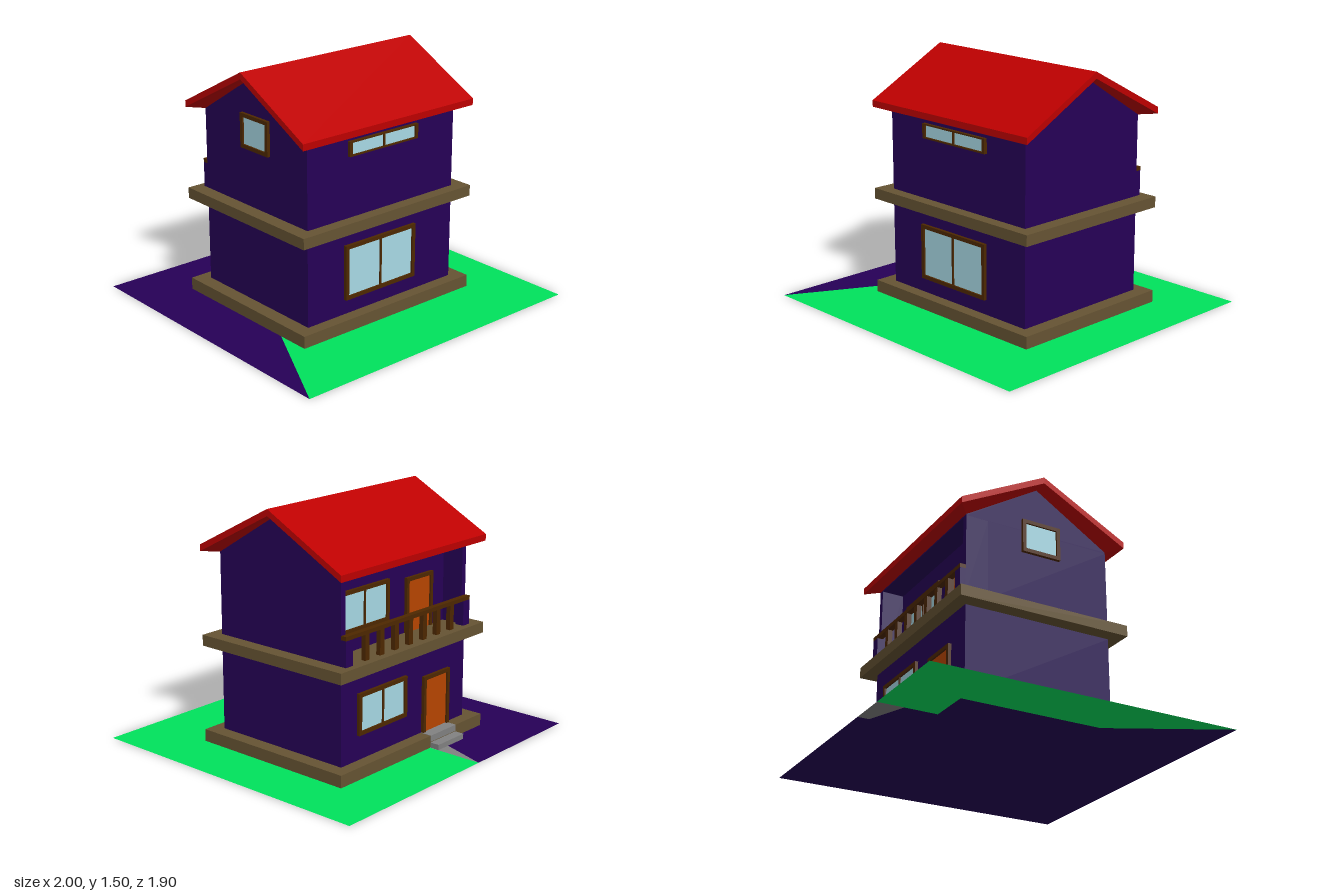
import * as THREE from 'three';

const mat = (name, color) => {
  const m = new THREE.MeshStandardMaterial({ color });
  m.name = name;
  return m;
};

export function createModel() {
  const model = new THREE.Group();
  model.name = 'house';
  const purple = mat('purple wall', 0x260057);
  const red = mat('red roof', 0xbe0000);
  const green = mat('green lawn', 0x00e25c);
  const stone = mat('tan band', 0x665433);
  const wood = mat('dark wood', 0x4e2800);
  const doorPaint = mat('orange door', 0xb94600);
  const glass = mat('pale glass', 0xa8dae6);
  const grey = mat('grey step', 0x828282);

  const add = (name, geometry, material, parent = model) => {
    const mesh = new THREE.Mesh(geometry, material);
    mesh.name = name;
    parent.add(mesh);
    return mesh;
  };
  // Box given by its limits on each axis
  const box = (name, material, x0, x1, y0, y1, z0, z1, parent) => {
    const g = new THREE.BoxGeometry(x1 - x0, y1 - y0, z1 - z0);
    g.translate((x0 + x1) / 2, (y0 + y1) / 2, (z0 + z1) / 2);
    return add(name, g, material, parent);
  };
  // Profile of [z, y] points extruded from x0 to x1
  const prism = (name, material, points, x0, x1) => {
    const shape = new THREE.Shape(points.map(p => new THREE.Vector2(...p)));
    const g = new THREE.ExtrudeGeometry(shape, { depth: x1 - x0, bevelEnabled: false });
    g.rotateY(-Math.PI / 2).translate(x1, 0, 0);
    return add(name, g, material);
  };
  // Flat ground patch of [x, z] points, facing up or down
  const patch = (name, material, points, y, up) => {
    const shape = new THREE.Shape(points.map(([x, z]) => new THREE.Vector2(x, up ? -z : z)));
    const g = new THREE.ShapeGeometry(shape);
    g.rotateX(up ? -Math.PI / 2 : Math.PI / 2).translate(0, y, 0);
    return add(name, g, material);
  };

  // Ground, upper face
  patch('lawn', green, [[-1, 0.95], [1, 0.95], [1, -0.95], [-0.145, -0.95], [-0.145, -0.6], [-0.65, 0.28]], 0.001, true);
  patch('groundPatch', purple, [[-1, 0.95], [-0.65, 0.28], [-0.24, -0.6], [-0.24, -0.66], [-0.145, -0.95], [-1, -0.95]], 0.001, true);
  patch('path', grey, [[-0.145, -0.95], [-0.24, -0.66], [-0.24, -0.64], [-0.145, -0.64]], 0.001, true);
  // Ground, lower face
  patch('groundUnderside', purple, [[-1, 0.95], [1, 0.95], [1, -0.95], [-0.145, -0.95], [-0.145, -0.88],
    [-0.39, -0.79], [-0.39, -0.59], [-0.65, -0.59], [-0.65, 0.28]], 0, false);
  patch('lawnUnderside', green, [[-1, 0.95], [-0.65, 0.28], [-0.65, -0.59], [-0.39, -0.59], [-0.39, -0.95], [-1, -0.95]], 0, false);
  patch('pathUnderside', grey, [[-0.39, -0.95], [-0.145, -0.95], [-0.145, -0.88], [-0.39, -0.79]], 0, false);

  // Plinth, floor band and back steps
  box('plinth', stone, -0.65, 0.663, 0.002, 0.077, -0.597, 0.49);
  box('floorBand', stone, -0.65, 0.663, 0.605, 0.672, -0.597, 0.49);
  box('lowerStep', grey, -0.39, -0.145, 0.002, 0.035, -0.658, -0.59);
  box('upperStep', grey, -0.39, -0.145, 0.04, 0.079, -0.6, -0.52);

  // Walls: the upper floor steps back behind the balcony
  const x0 = -0.56, x1 = 0.575;
  box('lowerWalls', purple, x0, x1, 0.077, 0.605, -0.52, 0.415);
  box('upperWalls', purple, x0, x1, 0.672, 1.165, -0.38, 0.415);
  prism('gable', purple, [[-0.52, 1.165], [0.415, 1.165], [0.415, 1.175], [-0.055, 1.463], [-0.52, 1.175]], x0, x1);
  for (const x of [x0, x1 - 0.035]) {
    box('balconySideWall', purple, x, x + 0.035, 0.672, 1.165, -0.52, -0.38);
  }
  for (const x of [x0, x1 - 0.06]) {
    box('balconyEndPost', purple, x, x + 0.06, 0.672, 0.826, -0.555, -0.5);
  }

  // Roof slab
  const rx0 = -0.65, rx1 = 0.663;
  prism('roof', red, [[0.49, 1.18], [0.49, 1.22], [-0.055, 1.505], [-0.597, 1.22], [-0.597, 1.18], [-0.055, 1.465]], rx0, rx1);

  // Soffit closing the slab down to the wall tops: outer and inner rims as [x, y, z]
  const rim = (a, b, front, back, eave) => [
    [b, eave, front], [b, 1.463, -0.055], [b, eave, back],
    [a, eave, back], [a, 1.463, -0.055], [a, eave, front],
  ];
  const outer = rim(rx0, rx1, 0.49, -0.597, 1.18);
  const inner = rim(x0, x1, 0.415, -0.52, 1.173);
  const soffit = [];
  for (let i = 0; i < 6; i++) {
    const j = (i + 1) % 6;
    for (const p of [outer[i], inner[i], inner[j], outer[i], inner[j], outer[j]]) soffit.push(...p);
  }
  const soffitGeometry = new THREE.BufferGeometry();
  soffitGeometry.setAttribute('position', new THREE.Float32BufferAttribute(soffit, 3));
  soffitGeometry.computeVertexNormals();
  add('soffit', soffitGeometry, red);

  // Balcony railing
  box('handrail', wood, x0, x1, 0.826, 0.85, -0.556, -0.52);
  for (let i = 0; i < 7; i++) {
    const x = 0.39 - i * 0.13;
    box('baluster', wood, x - 0.018, x + 0.018, 0.672, 0.826, -0.552, -0.523);
  }

  // Framed opening facing +z, centred on its own origin
  const framed = (name, w, h, fill, options = {}) => {
    const { t = 0.023, rail = t, mullion = false, sill = true } = options;
    const g = new THREE.Group();
    g.name = name;
    const a = w / 2, b = h / 2, d = 0.02;
    for (const s of [-1, 1]) {
      const c = s * (a - t / 2);
      box('frameSide', wood, c - t / 2, c + t / 2, -b, b, 0, d, g);
    }
    box('frameTop', wood, -a + t, a - t, b - rail, b, 0, d, g);
    if (sill) box('frameBottom', wood, -a + t, a - t, -b, -b + rail, 0, d, g);
    if (mullion) box('mullion', wood, -0.006, 0.006, -b + rail, b - rail, 0, d - 0.003, g);
    box('panel', fill, -a + t, a - t, sill ? -b + rail : -b, b - rail, 0, 0.009, g);
    model.add(g);
    return g;
  };

  // Front windows
  framed('frontWindow', 0.55, 0.34, glass, { mullion: true }).position.set(-0.013, 0.34, 0.415);
  framed('frontUpperWindow', 0.53, 0.09, glass, { mullion: true, t: 0.02, rail: 0.009 }).position.set(0.003, 1.09, 0.415);

  // Back windows and doors, the same on both floors
  for (const [floor, z, windowY, doorY0, doorY1] of [
    ['lower', -0.52, 0.355, 0.077, 0.43],
    ['upper', -0.38, 0.915, 0.672, 1.01],
  ]) {
    const win = framed(floor + 'BackWindow', 0.43, 0.25, glass, { mullion: true });
    win.position.set(0.225, windowY, z);
    win.rotation.y = Math.PI;
    const door = framed(floor + 'Door', 0.25, doorY1 - doorY0, doorPaint, { sill: false });
    door.position.set(-0.275, (doorY0 + doorY1) / 2, z);
    door.rotation.y = Math.PI;
  }

  // Side window
  const side = framed('sideWindow', 0.25, 0.21, glass);
  side.position.set(x0, 1.13, -0.035);
  side.rotation.y = -Math.PI / 2;

  return model;
}
